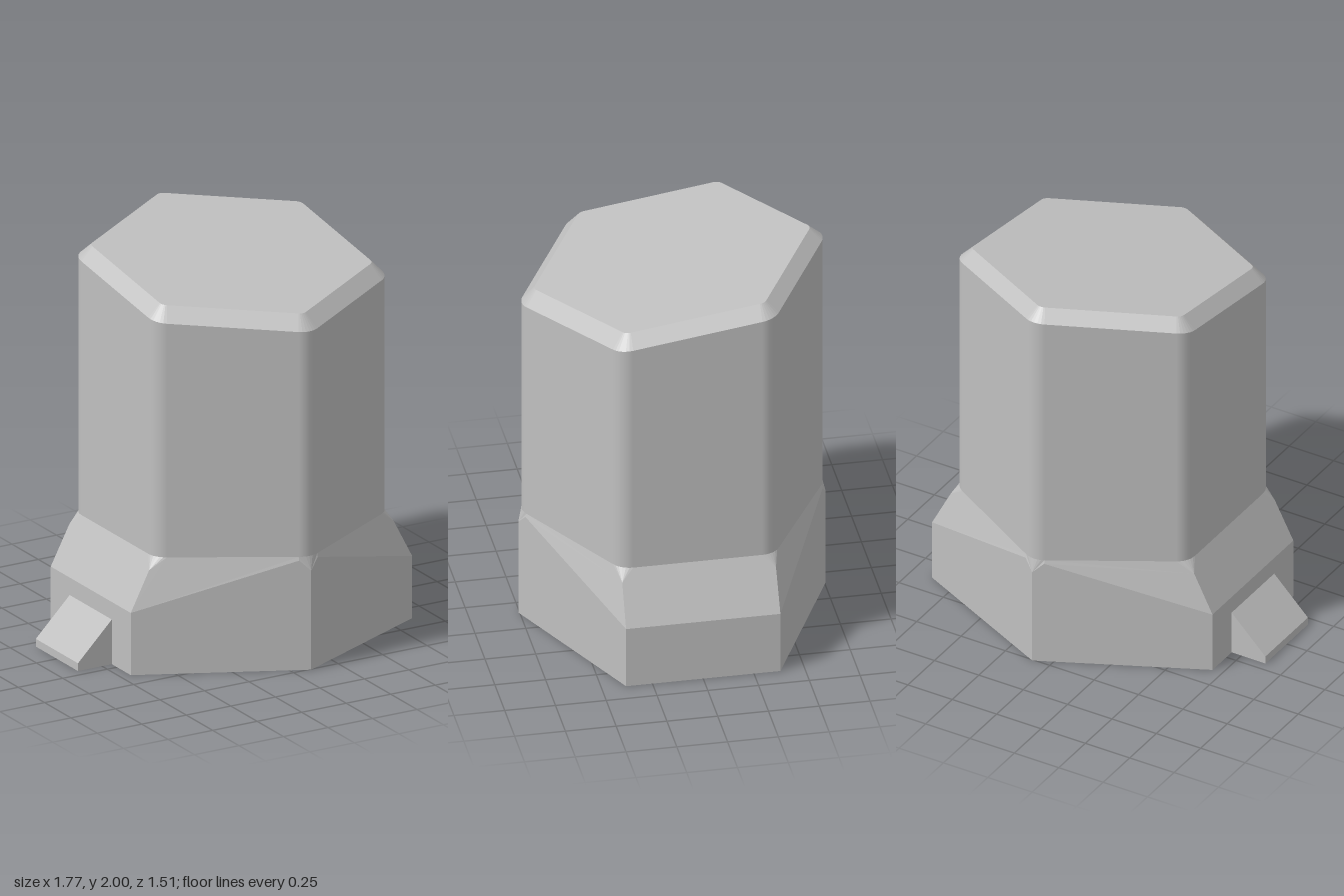
import * as THREE from 'three';

const STEPS = 6; // segments per rounded corner
const AXIS_X = 0.095; // the tower stands slightly off centre
const V = (x, y, z) => new THREE.Vector3(x, y, z);

// Flat-shaded geometry from convex polygons, each turned away from the centre
function facets(polygons, centre) {
  const positions = [];
  for (const poly of polygons) {
    const normal = V(0, 0, 0);
    const middle = V(0, 0, 0);
    poly.forEach((p, i) => {
      normal.add(V(0, 0, 0).crossVectors(p, poly[(i + 1) % poly.length]));
      middle.addScaledVector(p, 1 / poly.length);
    });
    const pts = normal.dot(middle.sub(centre)) < 0 ? [...poly].reverse() : poly;
    for (let i = 1; i < pts.length - 1; i++) {
      for (const p of [pts[0], pts[i], pts[i + 1]]) positions.push(p.x, p.y, p.z);
    }
  }
  const geo = new THREE.BufferGeometry();
  geo.setAttribute('position', new THREE.Float32BufferAttribute(positions, 3));
  geo.computeVertexNormals();
  return geo;
}

// Rounded hexagon with corners at the front and back; height is a rule of z
function hexRing(apothem, radius, height) {
  const ring = [];
  const reach = (apothem - radius) / Math.cos(Math.PI / 6);
  for (let k = 0; k < 6; k++) {
    const corner = k * Math.PI / 3;
    for (let i = 0; i <= STEPS; i++) {
      const a = corner + (i / STEPS - 0.5) * Math.PI / 3;
      const x = reach * Math.sin(corner) + radius * Math.sin(a);
      const z = reach * Math.cos(corner) + radius * Math.cos(a);
      const p = V(x, height(z), z);
      p.angle = a;
      ring.push(p);
    }
  }
  return ring;
}

// Smooth upright wall between two matching rings
function wall(lower, upper) {
  const positions = [], normals = [], index = [];
  const n = lower.length;
  lower.forEach((p, i) => {
    for (const q of [p, upper[i]]) {
      positions.push(q.x, q.y, q.z);
      normals.push(Math.sin(p.angle), 0, Math.cos(p.angle));
    }
    const a = 2 * i, b = 2 * ((i + 1) % n);
    index.push(a, b, b + 1, a, b + 1, a + 1);
  });
  const geo = new THREE.BufferGeometry();
  geo.setAttribute('position', new THREE.Float32BufferAttribute(positions, 3));
  geo.setAttribute('normal', new THREE.Float32BufferAttribute(normals, 3));
  geo.setIndex(index);
  return geo;
}

export function createModel() {
  const group = new THREE.Group();
  const grey = new THREE.MeshStandardMaterial({ color: 0xbfbfbf });
  grey.name = 'light grey';
  const add = (name, geo, x = 0) => {
    const mesh = new THREE.Mesh(geo, grey);
    mesh.name = name;
    mesh.position.x = x;
    group.add(mesh);
    return mesh;
  };

  // Column with a slanted top
  const tilt = 0.1418;
  const foot = hexRing(0.655, 0.104, () => 0.58);
  const shoulder = hexRing(0.655, 0.104, (z) => 1.84 - tilt * z);
  const rim = hexRing(0.592, 0.041, (z) => 1.905 - tilt * z);
  add('column', wall(foot, shoulder), AXIS_X);

  // Bevel around the top, and the cap
  const bevel = shoulder.map((p, i) => {
    const j = (i + 1) % shoulder.length;
    return [p, shoulder[j], rim[j], rim[i]];
  });
  add('topBevel', facets(bevel, V(0, 1.5, 0)), AXIS_X);
  add('topCap', facets([rim], V(0, 1.5, 0)), AXIS_X);

  // Flared base: one quarter, mirrored in x and z
  const frontArc = foot.slice(STEPS / 2, STEPS + 1);
  const sideArc = foot.slice(STEPS + 1, 2 * STEPS + 2);
  const frontLow = V(0, 0, 0.757);
  const frontHigh = V(0, 0.51, 0.757);
  const sideLow = V(0.79, 0, 0.38);
  const sideHigh = V(0.79, 0.32, 0.38);
  const ridgeEnd = V(0, 0.58, 0.757).lerp(sideHigh, 0.066);
  const cornerTop = sideHigh.clone().lerp(V(0.655, 0.58, 0.378), 0.77);
  const quarter = [
    [frontLow, sideLow, sideHigh, ridgeEnd, frontHigh],
    [sideLow, V(0.79, 0, 0), V(0.79, 0.32, 0), sideHigh],
    [sideHigh, ridgeEnd, frontArc.at(-1), sideArc[0], cornerTop],
    [sideHigh, cornerTop, sideArc.at(-1), V(0.655, 0.58, 0), V(0.79, 0.32, 0)],
    [frontHigh, ridgeEnd, frontArc.at(-1)],
    [V(0, 0, 0), frontLow, sideLow, V(0.79, 0, 0)],
  ];
  for (const [tip, arc] of [[frontHigh, frontArc], [cornerTop, sideArc]]) {
    for (let i = 0; i < arc.length - 1; i++) quarter.push([tip, arc[i], arc[i + 1]]);
  }
  const base = [];
  for (const sx of [1, -1]) {
    for (const sz of [1, -1]) {
      for (const poly of quarter) base.push(poly.map((p) => V(p.x * sx, p.y, p.z * sz)));
    }
  }
  add('flaredBase', facets(base, V(0, 0.3, 0)), AXIS_X);

  // Wedge-shaped tab on the right side
  const profile = new THREE.Shape([
    new THREE.Vector2(-0.885, 0), new THREE.Vector2(-0.65, 0),
    new THREE.Vector2(-0.65, 0.235), new THREE.Vector2(-0.69, 0.235),
    new THREE.Vector2(-0.885, 0.04),
  ]);
  const tab = new THREE.ExtrudeGeometry(profile, { depth: 0.4, bevelEnabled: false });
  add('sideTab', tab.translate(0, 0, -0.2));

  return group;
}
